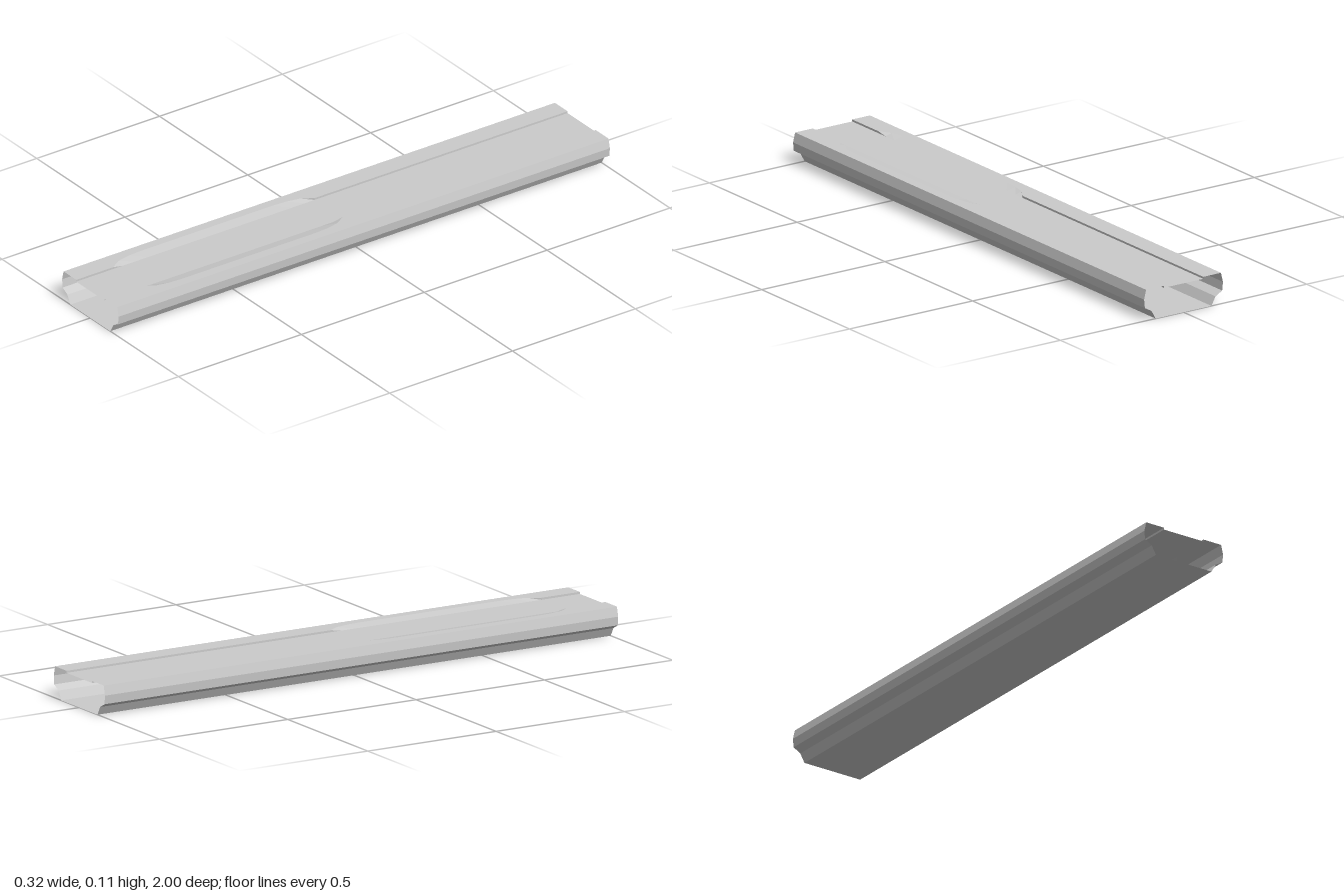
import * as THREE from 'three';

const TOP = 0.108, FLOOR = 0.101, LIP = 0.08;

// Half profile points (x, y), from the bottom edge up to the top edge
const side = [[0.113, 0], [0.13, 0.03], [0.157, 0.045], [0.16, 0.075], [0.152, TOP]];

// Stations along the length: [z, x of the inner lip edge]; the lips are cut back in the front half
const cut = [[0.03, LIP], [0.07, 0.105], [0.12, 0.115], [0.17, 0.118]];
const stations = [
  [-1, LIP], ...cut,
  ...cut.map(([z, x]) => [0.88 - z, x]).reverse(),
  [1, LIP],
];

const mirror = (points) => points.map(([x, y]) => [-x, y]).reverse();

const material = new THREE.MeshStandardMaterial({
  color: 0xcccccc, flatShading: true, side: THREE.DoubleSide,
});

// Open skin through the cross-sections given by profile(lipX) at each station
function loft(name, profile, rows = [[-1, LIP], [1, LIP]]) {
  const positions = [], index = [];
  const n = profile(LIP).length;
  rows.forEach(([z, lip]) => profile(lip).forEach(([x, y]) => positions.push(x, y, z)));
  for (let r = 0; r < rows.length - 1; r++) {
    for (let i = 0; i < n - 1; i++) {
      const a = r * n + i, b = a + 1, c = b + n, d = a + n;
      index.push(a, b, c, a, c, d);
    }
  }
  const geometry = new THREE.BufferGeometry();
  geometry.setAttribute('position', new THREE.Float32BufferAttribute(positions, 3));
  geometry.setIndex(index);
  geometry.computeVertexNormals();
  const mesh = new THREE.Mesh(geometry, material);
  mesh.name = name;
  return mesh;
}

export function createModel() {
  const group = new THREE.Group();
  group.name = 'hollowRail';

  // Side walls and underside
  group.add(loft('leftWall', () => side));
  group.add(loft('rightWall', () => mirror(side)));
  group.add(loft('bottomPlate', () => [[-0.113, 0], [0.113, 0]]));

  // Sunken centre panel
  group.add(loft('centrePanel', () => [[LIP, FLOOR], [-LIP, FLOOR]]));

  // Raised lips with a step that becomes a shallow bevel where cut back
  const lipProfile = (x) => [[0.152, TOP], [x, TOP], [LIP, FLOOR]];
  group.add(loft('leftLip', lipProfile, stations));
  group.add(loft('rightLip', (x) => mirror(lipProfile(x)), stations));

  return group;
}
